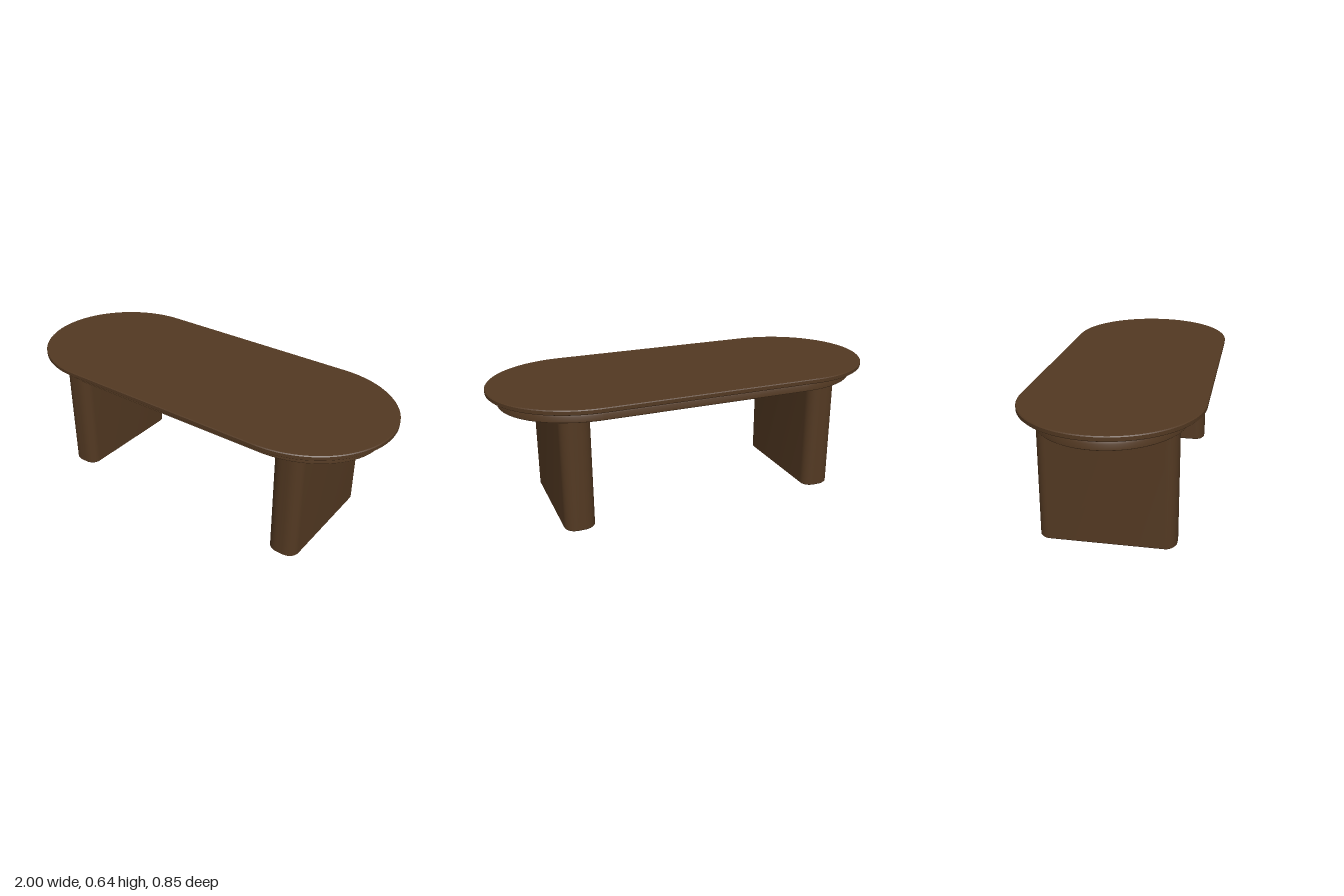
import * as THREE from 'three';
import { toCreasedNormals } from 'three/addons/utils/BufferGeometryUtils.js';

// Rectangle with elliptical corners: half sizes hx, hz and corner radii rx, rz
function outline(hx, hz, rx, rz, steps) {
  const points = [];
  const signs = [[1, 1], [-1, 1], [-1, -1], [1, -1]];
  signs.forEach(([sx, sz], q) => {
    for (let i = 0; i <= steps; i++) {
      const a = (q + i / steps) * Math.PI / 2;
      points.push([sx * (hx - rx) + rx * Math.cos(a), sz * (hz - rz) + rz * Math.sin(a)]);
    }
  });
  return points;
}

// Closed solid through rings of { y, hx, hz, rx, rz }, listed from bottom to top
function loft(rings, steps) {
  const n = 4 * (steps + 1);
  const pos = [];
  const index = [];
  for (const r of rings) {
    for (const [x, z] of outline(r.hx, r.hz, r.rx, r.rz, steps)) pos.push(x, r.y, z);
  }
  const last = (rings.length - 1) * n;
  const bottom = rings.length * n;
  pos.push(0, rings[0].y, 0, 0, rings[rings.length - 1].y, 0);
  for (let i = 0; i < n; i++) {
    const j = (i + 1) % n;
    for (let k = 0; k < last; k += n) {
      index.push(k + i, k + n + i, k + j, k + j, k + n + i, k + n + j);
    }
    index.push(bottom, i, j, bottom + 1, last + j, last + i);
  }
  const geometry = new THREE.BufferGeometry();
  geometry.setAttribute('position', new THREE.Float32BufferAttribute(pos, 3));
  geometry.setIndex(index);
  return toCreasedNormals(geometry, 0.5);
}

// Rings made by insetting one outline: profile is a list of [inset, y]
function insetRings(base, profile) {
  return profile.map(([d, y]) => ({
    y, hx: base.hx - d, hz: base.hz - d, rx: base.rx - d, rz: base.rz - d,
  }));
}

export function createModel() {
  const group = new THREE.Group();
  const wood = new THREE.MeshStandardMaterial({ color: 0x533922 });
  wood.name = 'darkWood';

  const add = (name, geometry, x = 0) => {
    const mesh = new THREE.Mesh(geometry, wood);
    mesh.name = name;
    mesh.position.x = x;
    group.add(mesh);
  };

  // Thin oblong top with softened edges
  const top = { hx: 1, hz: 0.425, rx: 0.45, rz: 0.425 };
  add('tableTop', loft(insetRings(top, [
    [0.004, 0.621], [0, 0.625], [0, 0.641], [0.004, 0.645],
  ]), 24));

  // Moulded apron under the top
  const apron = { hx: 0.956, hz: 0.365, rx: 0.42, rz: 0.365 };
  add('apron', loft(insetRings(apron, [
    [0.011, 0.56], [0.008, 0.564], [0.009, 0.588], [0.013, 0.598],
    [0.012, 0.602], [0.006, 0.604], [0.002, 0.612], [0, 0.622],
  ]), 24));

  // Two broad slab legs with rounded ends
  const leg = { hx: 0.075, hz: 0.32, rx: 0.06, rz: 0.052 };
  const legGeometry = loft(insetRings(leg, [[0.006, 0], [0, 0.006], [0, 0.562]]), 8);
  for (const side of [-1, 1]) {
    add(side > 0 ? 'leftLeg' : 'rightLeg', legGeometry, side * 0.652);
  }
  return group;
}
